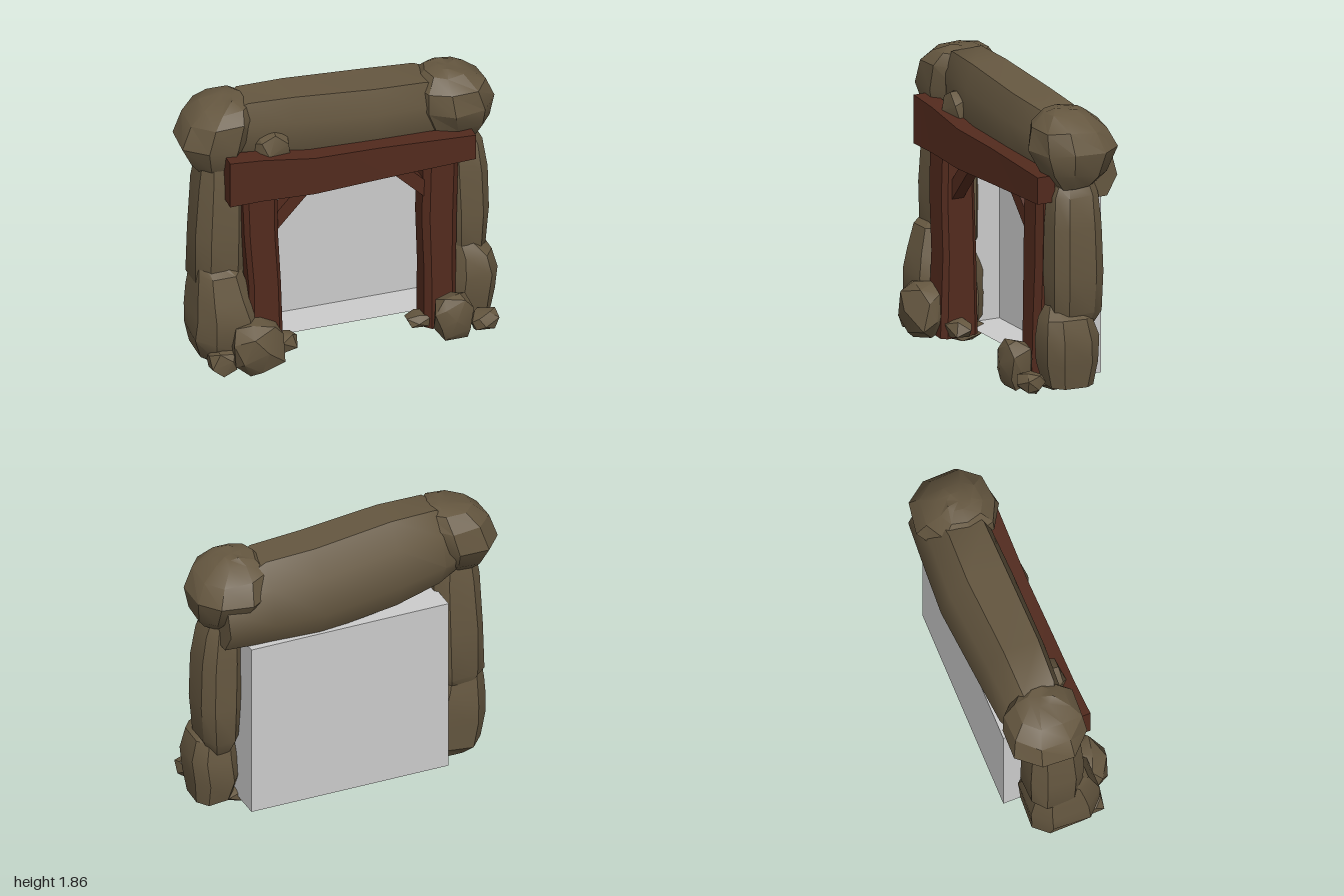
import * as THREE from 'three';
import { toCreasedNormals } from 'three/addons/utils/BufferGeometryUtils.js';
import { ConvexGeometry } from 'three/addons/geometries/ConvexGeometry.js';

const ROCK = new THREE.MeshStandardMaterial({ color: 0x655740 });
const WOOD = new THREE.MeshStandardMaterial({ color: 0x522a1d });
const GREY = new THREE.MeshStandardMaterial({ color: 0xcccccc, side: THREE.DoubleSide });

function seeded(seed) {
  let s = seed * 7919 + 13;
  return () => (s = (s * 16807) % 2147483647) / 2147483647;
}
const power = (v, p) => Math.sign(v) * Math.abs(v) ** p;

// Chipped stone filling the box from min to max
function stone(min, max, seed, count) {
  const rnd = seeded(seed);
  rnd(); rnd();
  const pts = [];
  for (let i = 0; i < count; i++) {
    const y = 1 - (2 * i + 1) / count, r = Math.sqrt(1 - y * y);
    const a = i * 2.39996 + seed + rnd() * 0.5, k = 0.9 + rnd() * 0.16;
    pts.push(new THREE.Vector3(power(r * Math.cos(a), 0.8) * k, power(y, 0.8) * k, power(r * Math.sin(a), 0.8) * k));
  }
  const box = new THREE.Box3().setFromPoints(pts), size = box.getSize(new THREE.Vector3());
  for (const p of pts) {
    p.sub(box.min).divide(size);
    p.set(...['x', 'y', 'z'].map((c, i) => min[i] + p[c] * (max[i] - min[i])));
  }
  return toCreasedNormals(new ConvexGeometry(pts), 0.5);
}

// Regular unit outline [a, z]; a lower p makes it boxier
function outline(sides, p) {
  const norm = power(Math.cos(Math.PI / sides), p);
  return Array.from({ length: sides }, (_, i) => {
    const th = (i + 0.5) * 2 * Math.PI / sides;
    return [power(Math.cos(th), p) / norm, power(Math.sin(th), p) / norm];
  });
}

// Skin over sections [t, a0, a1, z0, z1]; along y, a is x; along x, a is y
function loft(axis, sections, { shape = outline(8, 0.7), jitter = 0, seed = 1, crease = 0.5 } = {}) {
  const rnd = seeded(seed), pos = [], index = [], sides = shape.length, n = sections.length;
  const put = (t, a, z) => pos.push(...(axis === 'y' ? [a, t, z] : [t, a, z]));
  const tri = (a, b, c) => index.push(...(axis === 'y' ? [a, c, b] : [a, b, c]));
  for (const [t, a0, a1, z0, z1] of sections) {
    for (const [a, z] of shape) {
      const k = 1 - jitter * rnd();
      put(t + (rnd() - 0.5) * jitter * 0.4,
        (a0 + a1) / 2 + a * k * (a1 - a0) / 2,
        (z0 + z1) / 2 + z * k * (z1 - z0) / 2);
    }
  }
  for (const s of [sections[0], sections[n - 1]]) put(s[0], (s[1] + s[2]) / 2, (s[3] + s[4]) / 2);
  for (let i = 0; i < sides; i++) {
    const j = (i + 1) % sides, top = (n - 1) * sides;
    for (let r = 0; r < n - 1; r++) {
      const o = r * sides;
      tri(o + i, o + j, o + sides + j);
      tri(o + i, o + sides + j, o + sides + i);
    }
    tri(n * sides, j, i);
    tri(n * sides + 1, top + i, top + j);
  }
  const g = new THREE.BufferGeometry();
  g.setAttribute('position', new THREE.Float32BufferAttribute(pos, 3));
  g.setIndex(index);
  return toCreasedNormals(g, crease);
}

export function createModel() {
  const group = new THREE.Group();
  const add = (name, geometry, material = ROCK) => {
    const m = new THREE.Mesh(geometry, material);
    m.name = name;
    group.add(m);
    return m;
  };

  // Shallow recess, open to the front
  const recess = new THREE.BoxGeometry(1.32, 1.16, 0.25);
  const faces = Array.from(recess.index.array);
  faces.splice(24, 6);
  recess.setIndex(faces);
  recess.clearGroups();
  add('recess', recess, GREY).position.set(0.035, 0.67, -0.18);

  // Long rock across the top, its back sloping out to a low ridge
  const lintelShape = [[0.98, 0.8], [0.4, 1], [-0.6, 0.95], [-1, 0.4], [-1, -0.55], [-0.35, -1], [0.45, -0.74], [1, -0.25]];
  add('lintelRock', loft('x', [
    [-0.74, 1.42, 1.76, -0.26, 0.02],
    [-0.6, 1.36, 1.85, -0.32, 0.08],
    [-0.3, 1.28, 1.85, -0.34, 0.1],
    [0.22, 1.23, 1.80, -0.38, 0.1],
    [0.55, 1.24, 1.78, -0.36, 0.09],
    [0.85, 1.26, 1.64, -0.34, 0.0],
  ], { shape: lintelShape, jitter: 0.02, seed: 4, crease: 0.85 }));

  // Corner boulders and the small stone on the lintel
  add('leftTopBoulder', loft('y', [
    [1.35, 0.7, 0.92, -0.17, 0.06],
    [1.44, 0.57, 0.98, -0.26, 0.14],
    [1.58, 0.5, 1.01, -0.34, 0.19],
    [1.71, 0.51, 0.95, -0.28, 0.17],
    [1.79, 0.58, 0.84, -0.19, 0.08],
    [1.81, 0.66, 0.78, -0.13, 0.02],
  ], { shape: outline(9, 0.85), jitter: 0.06, seed: 3 }));
  add('rightTopBoulder', loft('y', [
    [1.37, -0.88, -0.7, -0.16, 0.06],
    [1.45, -0.95, -0.62, -0.26, 0.11],
    [1.58, -1.01, -0.56, -0.34, 0.15],
    [1.74, -0.96, -0.53, -0.32, 0.14],
    [1.82, -0.86, -0.55, -0.24, 0.08],
    [1.85, -0.72, -0.6, -0.15, 0.0],
  ], { shape: outline(8, 0.95), jitter: 0.05, seed: 5 }));
  add('lintelStone', stone([-0.58, 1.42, -0.02], [-0.35, 1.64, 0.16], 5, 16));

  // Upright rocks at the sides
  add('rightUpperRock', loft('y', [
    [0.5, -0.88, -0.66, -0.15, 0.08],
    [0.62, -0.94, -0.61, -0.22, 0.12],
    [0.95, -0.94, -0.6, -0.22, 0.13],
    [1.3, -0.92, -0.6, -0.21, 0.12],
    [1.48, -0.89, -0.64, -0.17, 0.09],
  ], { jitter: 0.06, seed: 9 }));
  add('leftUpperRock', loft('y', [
    [0.45, 0.74, 0.89, -0.15, 0.08],
    [0.55, 0.70, 0.94, -0.21, 0.12],
    [0.8, 0.69, 0.96, -0.22, 0.13],
    [1.1, 0.68, 0.95, -0.21, 0.12],
    [1.3, 0.69, 0.92, -0.2, 0.1],
    [1.36, 0.72, 0.89, -0.18, 0.07],
  ], { jitter: 0.04, seed: 6 }));
  add('rightLowerRock', loft('y', [
    [0.05, -0.84, -0.62, -0.16, 0.1],
    [0.12, -0.93, -0.54, -0.21, 0.18],
    [0.28, -0.97, -0.53, -0.22, 0.24],
    [0.42, -0.96, -0.55, -0.22, 0.24],
    [0.55, -0.95, -0.6, -0.21, 0.21],
    [0.7, -0.93, -0.65, -0.18, 0.16],
    [0.79, -0.91, -0.77, -0.1, 0.05],
  ], { jitter: 0.06, seed: 12 }));
  add('leftLowerRock', loft('y', [
    [0.1, 0.72, 0.96, -0.14, 0.15],
    [0.25, 0.68, 0.98, -0.18, 0.18],
    [0.4, 0.69, 1.0, -0.17, 0.19],
    [0.53, 0.71, 0.96, -0.14, 0.17],
    [0.63, 0.73, 0.83, -0.04, 0.1],
  ], { jitter: 0.05, seed: 15 }));

  // Rubble at the feet of the posts
  const rubble = [
    [[-0.77, 0.04, 0.1], [-0.43, 0.4, 0.38], 22],
    [[-0.9, 0.05, 0.08], [-0.73, 0.23, 0.27], 18],
    [[-0.5, 0.07, 0.02], [-0.29, 0.2, 0.18], 14],
    [[-0.68, 0.0, -0.16], [-0.5, 0.14, 0.12], 14],
    [[0.52, 0.06, 0.17], [0.77, 0.37, 0.37], 24],
    [[0.76, 0.08, 0.18], [0.94, 0.21, 0.35], 16],
    [[0.4, 0.09, 0.02], [0.58, 0.17, 0.18], 12],
    [[0.6, 0.04, -0.12], [0.82, 0.14, 0.12], 14],
  ];
  rubble.forEach(([min, max, n], i) => add('rubble' + (i + 1), stone(min, max, i + 21, n)));

  // Timber posts
  const timber = { jitter: 0.03, crease: 0.4 };
  add('rightPost', loft('y', [
    [0.08, -0.64, -0.41, -0.06, 0.2],
    [0.6, -0.63, -0.42, -0.05, 0.18],
    [0.95, -0.66, -0.44, -0.05, 0.18],
    [1.3, -0.67, -0.44, -0.05, 0.17],
  ], { ...timber, shape: outline(8, 0.35), seed: 2 }), WOOD);
  add('leftPost', loft('y', [
    [0.08, 0.51, 0.72, -0.06, 0.17],
    [0.5, 0.51, 0.72, -0.05, 0.16],
    [0.85, 0.50, 0.73, -0.05, 0.15],
    [1.3, 0.51, 0.74, -0.05, 0.15],
  ], { ...timber, shape: outline(8, 0.5), seed: 7 }), WOOD);

  // Cross beam, thicker at the right end
  add('crossBeam', loft('x', [
    [-0.77, 1.235, 1.545, 0.08, 0.21],
    [-0.55, 1.23, 1.52, 0.08, 0.2],
    [-0.22, 1.215, 1.47, 0.08, 0.2],
    [0.2, 1.23, 1.455, 0.08, 0.19],
    [0.82, 1.26, 1.43, 0.08, 0.2],
  ], { shape: outline(4, 1), crease: 0.3 }), WOOD);

  // Diagonal braces under the beam
  for (const [name, x0, y0, x1, y1] of [
    ['rightBrace', -0.5, 0.95, -0.19, 1.29],
    ['leftBrace', 0.56, 1.02, 0.29, 1.29],
  ]) {
    const brace = add(name, new THREE.BoxGeometry(Math.hypot(x1 - x0, y1 - y0), 0.085, 0.08), WOOD);
    brace.position.set((x0 + x1) / 2, (y0 + y1) / 2, 0.08);
    brace.rotation.z = Math.atan2(y1 - y0, x1 - x0);
  }
  return group;
}
